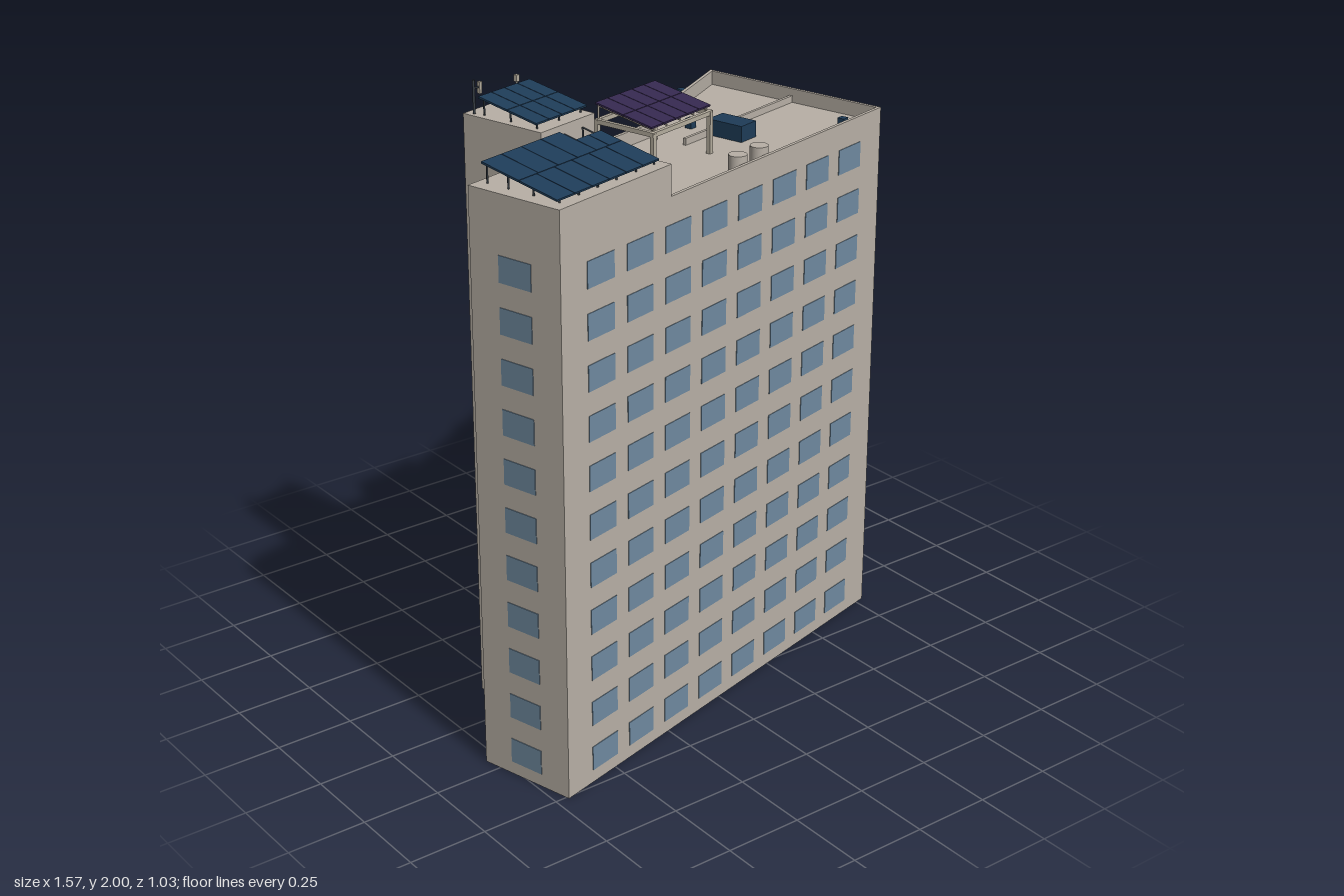
import * as THREE from 'three';

const mat = (name, color) => {
  const m = new THREE.MeshStandardMaterial({ color, side: THREE.DoubleSide });
  m.name = name;
  return m;
};

export function createModel() {
  const wall = mat('concrete', 0xb8b0a6);
  const glass = mat('window blue', 0x6f8aa0);
  const navy = mat('solar navy', 0x1e3c58);
  const purple = mat('solar purple', 0x35284f);
  const metal = mat('dark metal', 0x3a4148);
  const pale = mat('pale frame', 0xb5ad9e);

  const model = new THREE.Group();
  model.name = 'apartmentBlock';
  // the block stands turned on its plot
  const block = new THREE.Group();
  block.name = 'block';
  block.rotation.y = 0.2513;
  model.add(block);

  const add = (name, geo, m, parent = block) => {
    const mesh = new THREE.Mesh(geo, m);
    mesh.name = name;
    parent.add(mesh);
    return mesh;
  };
  // box from its extents
  const box = (name, m, x0, x1, y0, y1, z0, z1) => {
    const b = add(name, new THREE.BoxGeometry(x1 - x0, y1 - y0, z1 - z0), m);
    b.position.set((x0 + x1) / 2, (y0 + y1) / 2, (z0 + z1) / 2);
    return b;
  };
  // round or square bar between two points
  const bar = (name, m, a, b, r, sides = 6) => {
    const p = new THREE.Vector3(...a), q = new THREE.Vector3(...b), d = q.clone().sub(p);
    const mesh = add(name, new THREE.CylinderGeometry(r, r, d.length(), sides), m);
    mesh.position.copy(p).add(q).multiplyScalar(0.5);
    mesh.quaternion.setFromUnitVectors(new THREE.Vector3(0, 1, 0), d.normalize());
  };
  // upright prism from a plan outline, optionally hollow
  const prism = (name, outline, y0, y1, hole) => {
    const pts = o => o.map(([x, z]) => new THREE.Vector2(x, -z));
    const shape = new THREE.Shape(pts(outline));
    if (hole) shape.holes.push(new THREE.Path(pts(hole)));
    const geo = new THREE.ExtrudeGeometry(shape, { depth: y1 - y0, bevelEnabled: false });
    add(name, geo.rotateX(-Math.PI / 2).translate(0, y0, 0), wall);
  };
  // outline moved inwards by t
  const inset = (o, t) => o.map((p, i) => {
    const a = o[(i + o.length - 1) % o.length], b = o[(i + 1) % o.length];
    const n = (s, e) => new THREE.Vector2(e[1] - s[1], s[0] - e[0]).normalize();
    const n1 = n(a, p), n2 = n(p, b), k = t / (1 + n1.dot(n2));
    return [p[0] + (n1.x + n2.x) * k, p[1] + (n1.y + n2.y) * k];
  });

  // main body, roof parapet, raised wing
  const ROOF = 1.69, TOP = 1.735, WING = 1.83, TOWER = 1.9;
  const back = [[0.727, 0.317], [0.727, -0.345], [0.171, -0.183], [0.173, -0.153], [-0.274, -0.153], [-0.274, -0.008]];
  prism('mainBody', [[-0.814, 0.317], ...back, [-0.814, -0.008]], 0, ROOF);
  const deck = [[-0.332, 0.317], ...back, [-0.332, -0.008]];
  prism('parapet', deck, ROOF, TOP, inset(deck, 0.011));
  box('raisedWing', wall, -0.814, -0.332, ROOF, WING, -0.008, 0.317);

  // stair tower, open underneath
  const tower = box('stairTower', wall, -0.508, -0.274, 0, TOWER, -0.301, -0.008);
  const idx = Array.from(tower.geometry.index.array);
  tower.geometry.setIndex(idx.filter((_, i) => i < 18 || i >= 24));
  tower.geometry.clearGroups();

  // windows: eleven floors on each wall; angle turns the plate's front outwards
  const pane = (w) => new THREE.BoxGeometry(w, 0.08, 0.004);
  const windows = (name, x, z, angle, cols, step, w = 0.116) => {
    const g = new THREE.Group();
    g.name = name;
    g.position.set(x, 0, z);
    g.rotation.y = angle;
    block.add(g);
    for (let c = 0; c < cols; c++)
      for (let f = 0; f < 11; f++)
        add('window', pane(w), glass, g).position.set((c - (cols - 1) / 2) * step, 0.082 + f * 0.153, 0);
  };
  windows('frontWindows', -0.0435, 0.317, 0, 8, 0.172);
  windows('leftSideWindows', 0.727, -0.016, Math.PI / 2, 3, 0.174);
  windows('slantedBackWindows', 0.449, -0.264, Math.PI - Math.atan2(-0.162, 0.556), 3, 0.174);
  windows('backWindows', -0.038, -0.153, Math.PI, 2, 0.198, 0.11);
  windows('towerBackWindows', -0.366, -0.301, Math.PI, 1, 0, 0.1);
  windows('towerSideWindows', -0.508, -0.142, -Math.PI / 2, 1, 0);
  windows('wingBackWindows', -0.664, -0.008, Math.PI, 1, 0);
  windows('wingSideWindows', -0.814, 0.155, -Math.PI / 2, 1, 0);

  // tilted solar panels; height runs linearly from back to front
  const panels = (name, m, x0, x1, z0, z1, cols, rows, height) => {
    const g = new THREE.Group();
    g.name = name;
    block.add(g);
    const w = (x1 - x0) / cols, d = (z1 - z0) / rows;
    const slope = Math.atan2(height(z0) - height(z1), z1 - z0);
    for (let i = 0; i < cols; i++)
      for (let j = 0; j < rows; j++) {
        const z = z0 + (j + 0.5) * d;
        const p = add('panel', new THREE.BoxGeometry(w - 0.002, 0.006, d / Math.cos(slope) - 0.002), m, g);
        p.position.set(x0 + (i + 0.5) * w, height(z), z);
        p.rotation.x = slope;
      }
  };
  // rails and legs below a set of panels
  const rack = (xs, zs, y0, height, m) => {
    for (const x of xs) {
      const a = zs[0], b = zs[zs.length - 1];
      bar('rackRail', m, [x, height(a) - 0.007, a], [x, height(b) - 0.007, b], 0.003, 4);
      for (const z of zs) bar('rackLeg', m, [x, y0, z], [x, height(z) - 0.006, z], 0.003);
    }
  };
  const ramp = (za, ya, zb, yb) => z => ya + (yb - ya) * (z - za) / (zb - za);

  const wingH = ramp(0.019, 1.894, 0.289, 1.842);
  panels('wingPanelsFront', navy, -0.79, -0.351, 0.154, 0.289, 6, 1, wingH);
  panels('wingPanelsBack', navy, -0.79, -0.461, 0.019, 0.154, 4, 1, wingH);
  panels('wingPanelsShort', navy, -0.461, -0.351, 0.077, 0.154, 2, 1, wingH);
  rack([-0.77, -0.69, -0.61, -0.53, -0.445, -0.365], [0.024, 0.1, 0.19, 0.28], WING, wingH, metal);

  const towerH = ramp(-0.25, 1.955, -0.032, 1.917);
  panels('towerPanels', navy, -0.5, -0.277, -0.25, -0.032, 4, 2, towerH);
  rack([-0.485, -0.39, -0.295], [-0.24, -0.14, -0.042], TOWER, towerH, metal);

  // pergola with purple panels
  const pergolaH = ramp(-0.125, 1.872, 0.087, 1.836);
  panels('pergolaPanels', purple, -0.131, 0.153, -0.125, 0.087, 5, 2, pergolaH);
  const px = [-0.127, 0.145], pz = [-0.12, 0.09];
  for (const x of px) {
    for (const z of pz) box('pergolaPost', pale, x - 0.007, x + 0.007, ROOF, 1.82, z - 0.007, z + 0.007);
    box('pergolaSideBeam', pale, x - 0.006, x + 0.006, 1.81, 1.824, pz[0], pz[1]);
  }
  for (const z of pz) box('pergolaBeam', pale, px[0] - 0.008, px[1] + 0.008, 1.81, 1.824, z - 0.006, z + 0.006);
  for (let i = 0; i < 5; i++) {
    const x = -0.12 + i * 0.064;
    bar('pergolaRafter', pale, [x, pergolaH(-0.12) - 0.008, -0.12], [x, pergolaH(0.085) - 0.008, 0.085], 0.004, 4);
    bar('pergolaStrut', pale, [x, 1.82, -0.12], [x, pergolaH(-0.12) - 0.006, -0.12], 0.004, 4);
  }

  // tower door and canopy
  box('roofDoor', navy, -0.276, -0.27, ROOF, 1.79, -0.095, -0.045);
  box('doorCanopy', wall, -0.274, -0.234, 1.8, 1.812, -0.105, -0.038);

  // roof divider, machinery, tanks and small cabinets
  box('roofDivider', wall, 0.16, 0.72, ROOF, 1.712, -0.021, -0.011);
  box('airUnit', navy, 0.285, 0.36, ROOF, 1.741, -0.022, 0.105);
  for (const x of [0.034, 0.14]) {
    add('waterTank', new THREE.CylinderGeometry(0.028, 0.028, 0.065, 24), wall).position.set(x, ROOF + 0.0325, 0.276);
  }
  for (const [x, z] of [[0.308, -0.107], [0.605, 0.258]]) box('roofCabinet', navy, x - 0.012, x + 0.012, ROOF, 1.72, z - 0.012, z + 0.012);
  box('wallCabinet', navy, 0.52, 0.544, 1.697, 1.722, -0.326, -0.298);
  bar('cornerPipe', metal, [0.722, 1.68, -0.35], [0.722, 1.73, -0.35], 0.004);

  // masts on the tower
  bar('mast', metal, [-0.492, TOWER, -0.272], [-0.492, 2, -0.272], 0.004);
  bar('mastArm', metal, [-0.492, 1.975, -0.272], [-0.465, 1.975, -0.272], 0.003);
  box('mastAntenna', pale, -0.472, -0.462, 1.955, 1.99, -0.277, -0.267);
  bar('shortMast', pale, [-0.288, TOWER, -0.29], [-0.288, 1.95, -0.29], 0.003);
  box('mastBox', pale, -0.294, -0.282, 1.945, 1.965, -0.296, -0.284);

  return model;
}
